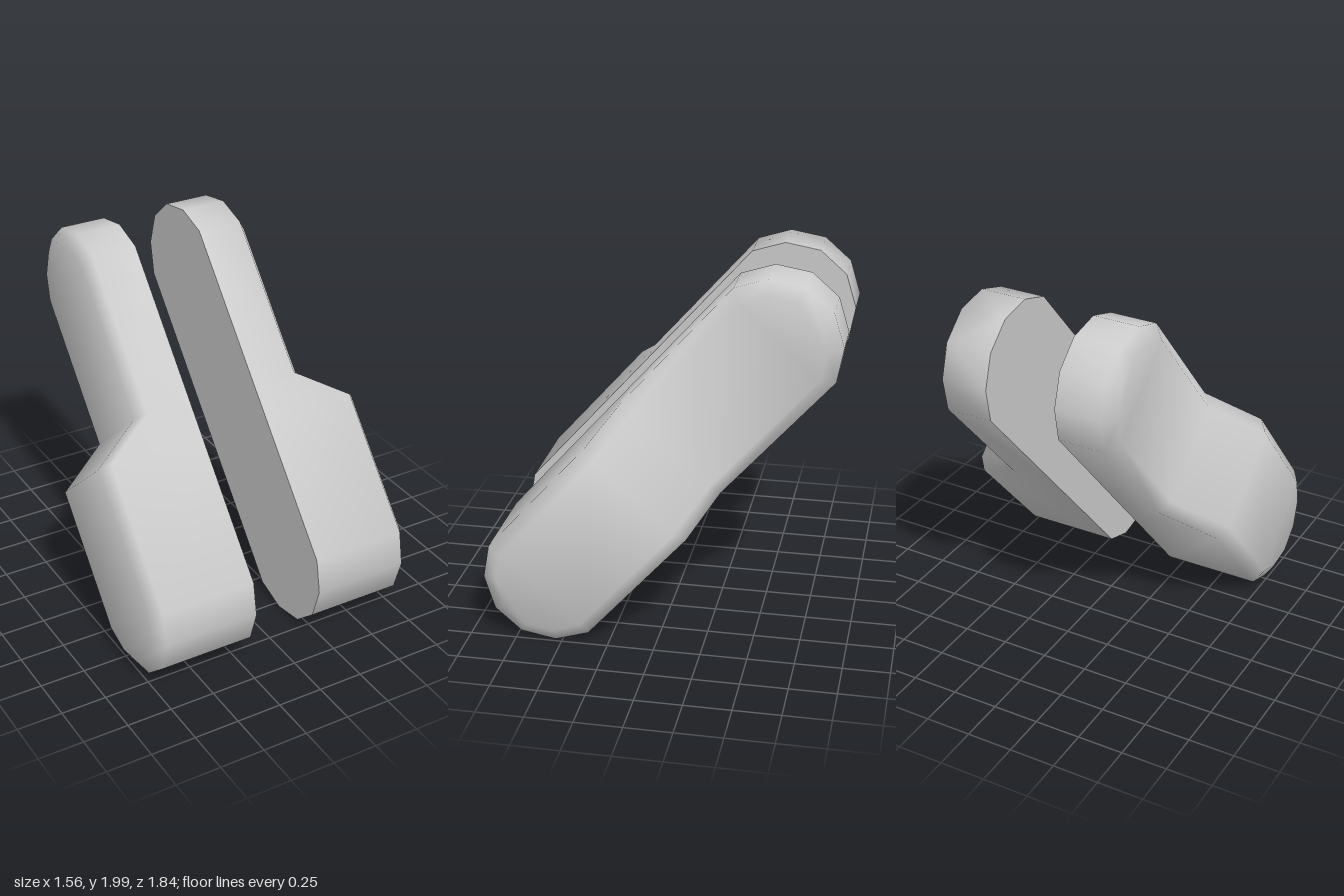
import * as THREE from 'three';
import { toCreasedNormals } from 'three/addons/utils/BufferGeometryUtils.js';

// Stations along the sloping axis:
// [rim position, rim half height, face position, face half height, outer x]
const STATIONS = [
  [-1.20, 0.094, -1.125, 0.075, 0.78],
  [-1.10, 0.257, -1.04, 0.205, 0.78],
  [-0.94, 0.353, -0.91, 0.28, 0.78],
  [-0.14, 0.353, -0.14, 0.28, 0.78],
  [0.06, 0.353, 0.06, 0.28, 0.50],
  [0.94, 0.353, 0.91, 0.28, 0.50],
  [1.10, 0.257, 1.04, 0.205, 0.50],
  [1.20, 0.094, 1.125, 0.075, 0.50],
];
const INNER_X = 0.195;
const BEVEL = 0.05;

function padGeometry(side) {
  const positions = [];
  const index = [];
  // t runs up the slope, s across it
  const point = (t, s, x) =>
    positions.push(side * x, 1 + 0.75 * t + 0.662 * s, -0.662 * t + 0.75 * s);
  const quad = (a, b, c, d) => {
    if (side > 0) index.push(a, b, c, a, c, d);
    else index.push(a, c, b, a, d, c);
  };

  // Six-point cross-sections: square inner edges, bevelled outer edges
  for (const [t, w, ft, fw, x] of STATIONS) {
    point(t, -w, INNER_X);
    point(t, -w, x - BEVEL);
    point(ft, -fw, x);
    point(ft, fw, x);
    point(t, w, x - BEVEL);
    point(t, w, INNER_X);
  }
  // Skin between neighbouring sections
  for (let i = 0; i < STATIONS.length - 1; i++) {
    for (let j = 0; j < 6; j++) {
      const a = i * 6 + j;
      const b = i * 6 + ((j + 1) % 6);
      quad(a, a + 6, b + 6, b);
    }
  }
  // Lower and upper ends
  const e = (STATIONS.length - 1) * 6;
  quad(0, 1, 4, 5);
  quad(1, 2, 3, 4);
  quad(e + 5, e + 4, e + 1, e);
  quad(e + 4, e + 3, e + 2, e + 1);

  const geometry = new THREE.BufferGeometry();
  geometry.setAttribute('position', new THREE.Float32BufferAttribute(positions, 3));
  geometry.setIndex(index);
  return toCreasedNormals(geometry, 1.2);
}

export function createModel() {
  const model = new THREE.Group();
  const material = new THREE.MeshStandardMaterial({ color: 0xcccccc });
  // Mirrored pair of stepped, sloping pads
  for (const [name, side] of [['leftPad', 1], ['rightPad', -1]]) {
    const pad = new THREE.Mesh(padGeometry(side), material);
    pad.name = name;
    model.add(pad);
  }
  return model;
}
